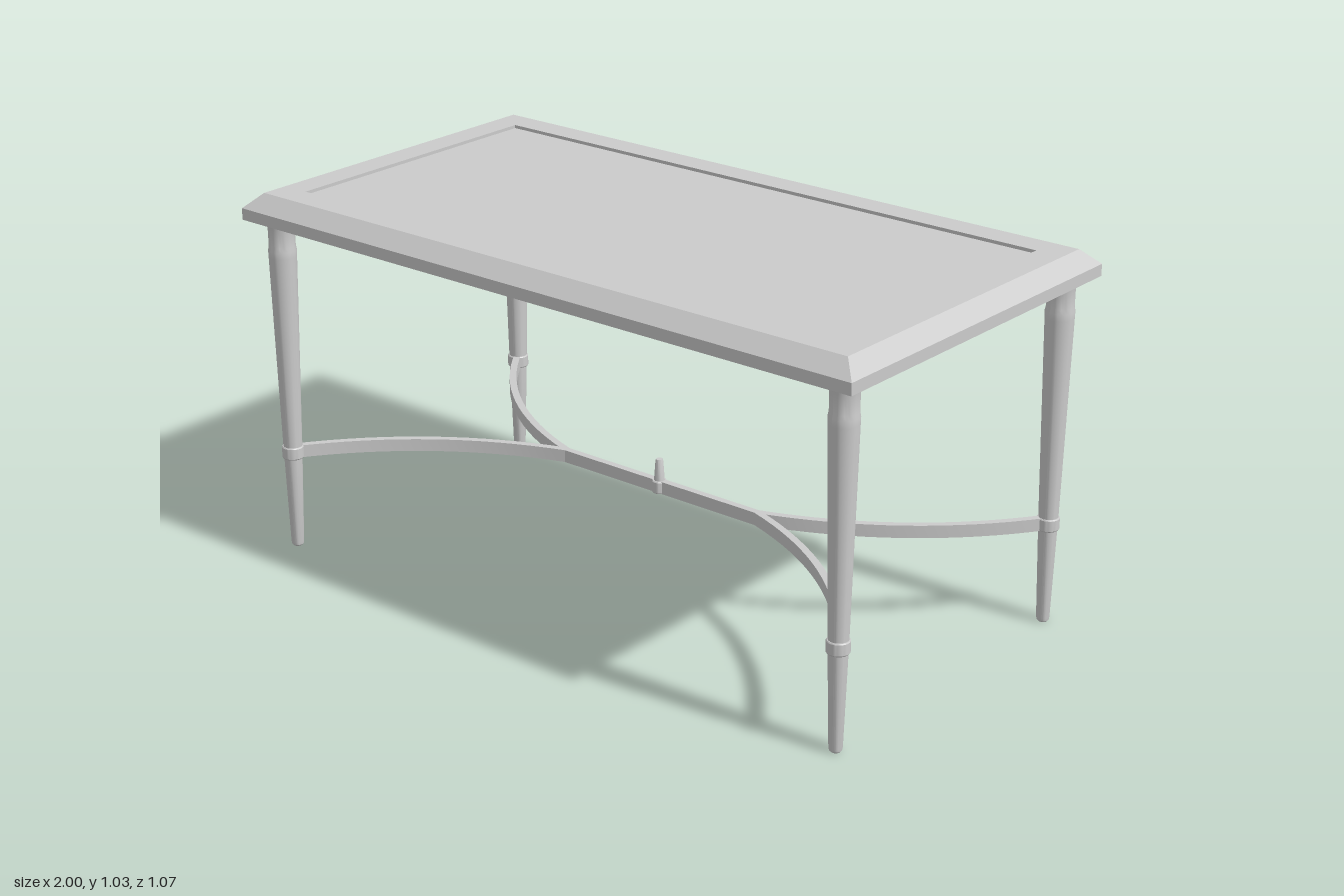
import * as THREE from 'three';
import { toCreasedNormals } from 'three/addons/utils/BufferGeometryUtils.js';

const material = new THREE.MeshStandardMaterial({ color: 0xcccccc });
const LEG_X = 0.93, LEG_Z = 0.46;
const BAR_Y = 0.265, BAR_H = 0.035, BAR_W = 0.02;

function add(parent, name, geometry, x = 0, y = 0, z = 0) {
  const mesh = new THREE.Mesh(geometry, material);
  mesh.name = name;
  mesh.position.set(x, y, z);
  parent.add(mesh);
  return mesh;
}

// Turned part from [radius, height] pairs
function turned(profile, segments = 32) {
  const points = profile.map(([r, y]) => new THREE.Vector2(r, y));
  return toCreasedNormals(new THREE.LatheGeometry(points, segments), 0.5);
}

// Mitred frame: joins rectangular sections [halfX, halfZ, y] in a closed loop
function mitredFrame(sections) {
  const corners = [[1, 1], [1, -1], [-1, -1], [-1, 1]];
  const positions = [];
  sections.forEach((lower, s) => {
    const upper = sections[(s + 1) % sections.length];
    const at = ([hx, hz, y], i) => [corners[i % 4][0] * hx, y, corners[i % 4][1] * hz];
    for (let i = 0; i < 4; i++) {
      const a = at(lower, i), b = at(lower, i + 1), c = at(upper, i + 1), d = at(upper, i);
      positions.push(...a, ...b, ...c, ...a, ...c, ...d);
    }
  });
  const geometry = new THREE.BufferGeometry();
  geometry.setAttribute('position', new THREE.Float32BufferAttribute(positions, 3));
  geometry.computeVertexNormals();
  return geometry;
}

// Flat bar of constant width following a plan curve (x, z)
function curvedBar(curve, divisions) {
  const left = [], right = [];
  for (let i = 0; i <= divisions; i++) {
    const p = curve.getPoint(i / divisions), t = curve.getTangent(i / divisions);
    const n = new THREE.Vector2(-t.y, t.x).multiplyScalar(BAR_W / 2);
    left.push(p.clone().add(n));
    right.unshift(p.clone().sub(n));
  }
  const shape = new THREE.Shape([...left, ...right]);
  const geometry = new THREE.ExtrudeGeometry(shape, { depth: BAR_H, bevelEnabled: false });
  geometry.rotateX(Math.PI / 2).translate(0, BAR_H, 0);
  return toCreasedNormals(geometry, 0.5);
}

export function createModel() {
  const table = new THREE.Group();
  table.name = 'table';

  // Bevelled top frame with an inset panel
  add(table, 'topFrame', mitredFrame([
    [1, 0.533, 0.955], [1, 0.533, 0.987], [0.957, 0.49, 1.028],
    [0.88, 0.413, 1.028], [0.88, 0.413, 0.955],
  ]));
  add(table, 'topPanel', new THREE.BoxGeometry(1.77, 0.008, 0.836), 0, 1.015, 0);

  // Tapered legs with a flared head, a ring and a collar at the stretcher
  const legGeometry = turned([
    [0, 0], [0.012, 0], [0.016, 0.004], [0.0175, 0.012], [0.026, 0.3], [0.038, 0.85],
    [0.0385, 0.868], [0.036, 0.88], [0.0365, 0.935], [0.039, 0.946], [0.044, 0.956], [0, 0.956],
  ]);
  const collarGeometry = turned([
    [0, 0], [0.028, 0], [0.03, 0.003], [0.03, BAR_H - 0.003], [0.028, BAR_H], [0, BAR_H],
  ]);

  // Curved stretcher arms run from the ends of the spine to the legs
  for (const sx of [-1, 1]) {
    for (const sz of [-1, 1]) {
      const side = (sz > 0 ? 'front' : 'back') + (sx > 0 ? 'Left' : 'Right');
      add(table, side + 'Leg', legGeometry, sx * LEG_X, 0, sz * LEG_Z);
      add(table, side + 'LegCollar', collarGeometry, sx * LEG_X, BAR_Y, sz * LEG_Z);
      const arm = new THREE.QuadraticBezierCurve(
        new THREE.Vector2(sx * 0.33, 0),
        new THREE.Vector2(sx * 0.71, sz * 0.127),
        new THREE.Vector2(sx * LEG_X, sz * LEG_Z));
      add(table, side + 'StretcherArm', curvedBar(arm, 16), 0, BAR_Y, 0);
    }
  }

  // Straight spine with a central hub and finial
  add(table, 'stretcherSpine', new THREE.BoxGeometry(0.68, BAR_H, BAR_W), 0, BAR_Y + BAR_H / 2, 0);
  add(table, 'stretcherHub', turned([
    [0, 0], [0.018, 0], [0.02, 0.003], [0.02, BAR_H - 0.003], [0.018, BAR_H], [0, BAR_H],
  ]), 0, BAR_Y, 0);
  add(table, 'finial', turned([
    [0.0145, 0], [0.0105, 0.055], [0.009, 0.06], [0, 0.061],
  ]), 0, BAR_Y + BAR_H, 0);

  return table;
}
